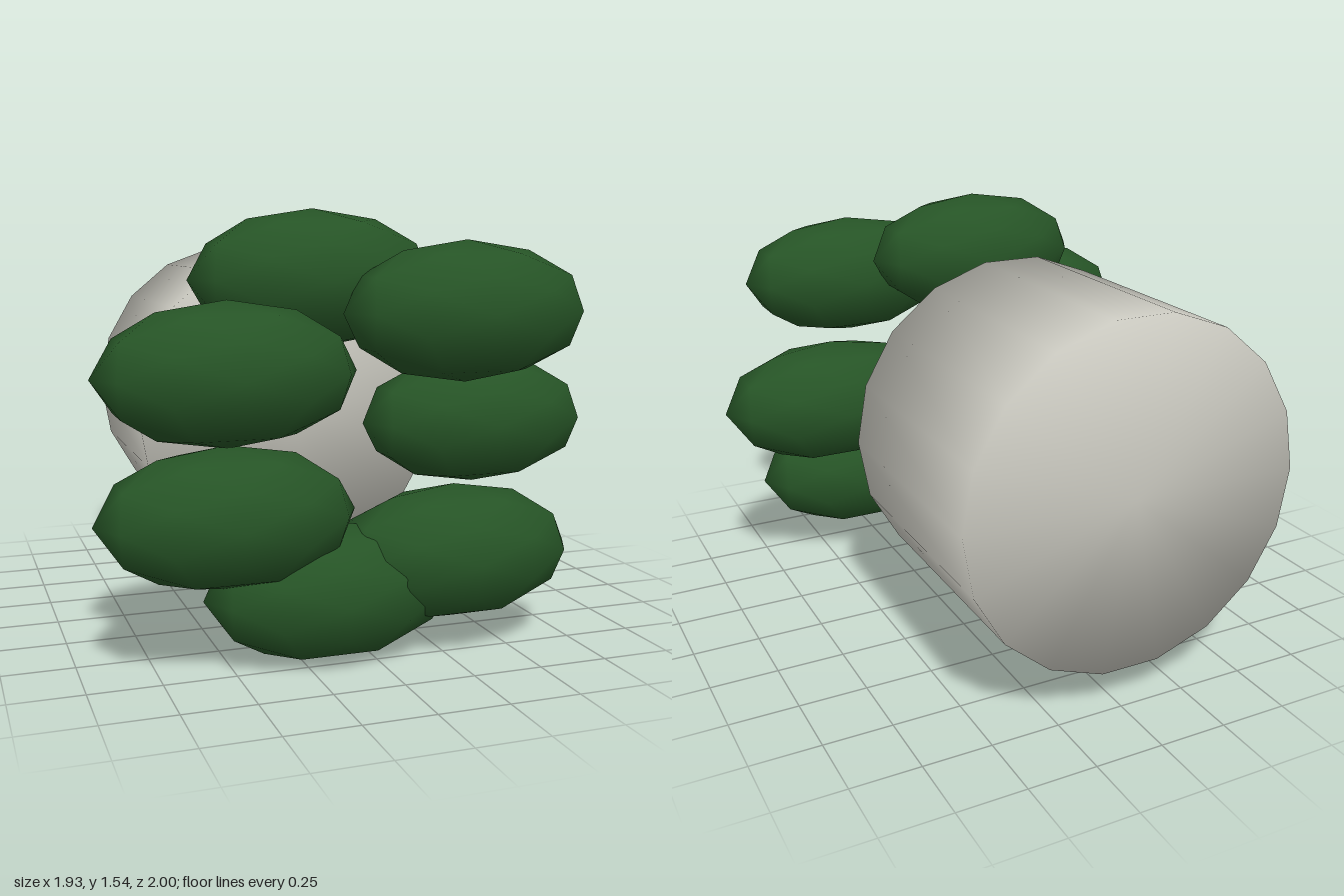
import * as THREE from 'three';

export function createModel() {
  const model = new THREE.Group();
  const green = new THREE.MeshStandardMaterial({ color: 0x265426 });
  green.name = 'dark green';
  const grey = new THREE.MeshStandardMaterial({ color: 0xc8c7be });
  grey.name = 'warm grey';

  // Closed drum lying along z, with normals blended softly over the rims
  const radius = 0.632, length = 0.9;
  const drumGeometry = new THREE.CylinderGeometry(radius, radius, length, 18, 1, false, Math.PI / 2);
  drumGeometry.rotateX(Math.PI / 2);
  const { position, normal } = drumGeometry.attributes;
  const n = new THREE.Vector3();
  for (let i = 0; i < position.count; i++) {
    n.set(position.getX(i) / radius, position.getY(i) / radius, Math.sign(position.getZ(i))).normalize();
    normal.setXYZ(i, n.x, n.y, n.z);
  }
  const drum = new THREE.Mesh(drumGeometry, grey);
  drum.name = 'drum';
  drum.position.set(-0.03, 0.775, -0.55);
  model.add(drum);

  // Ring of seven long pods, each at its own depth
  const pods = new THREE.Group();
  pods.name = 'podRing';
  const podGeometry = new THREE.IcosahedronGeometry(1, 1);
  podGeometry.scale(0.445, 0.241, 0.241);
  const depths = [0.415, 0.76, 0.49, 0.73, 0.72, 0.67, 0.685];
  depths.forEach((z, i) => {
    const a = (i / depths.length) * Math.PI * 2;
    const pod = new THREE.Mesh(podGeometry, green);
    pod.name = `pod${i + 1}`;
    pod.position.set(-0.028 + 0.545 * Math.cos(a), 0.775 + 0.545 * Math.sin(a), z);
    pods.add(pod);
  });
  model.add(pods);
  return model;
}
